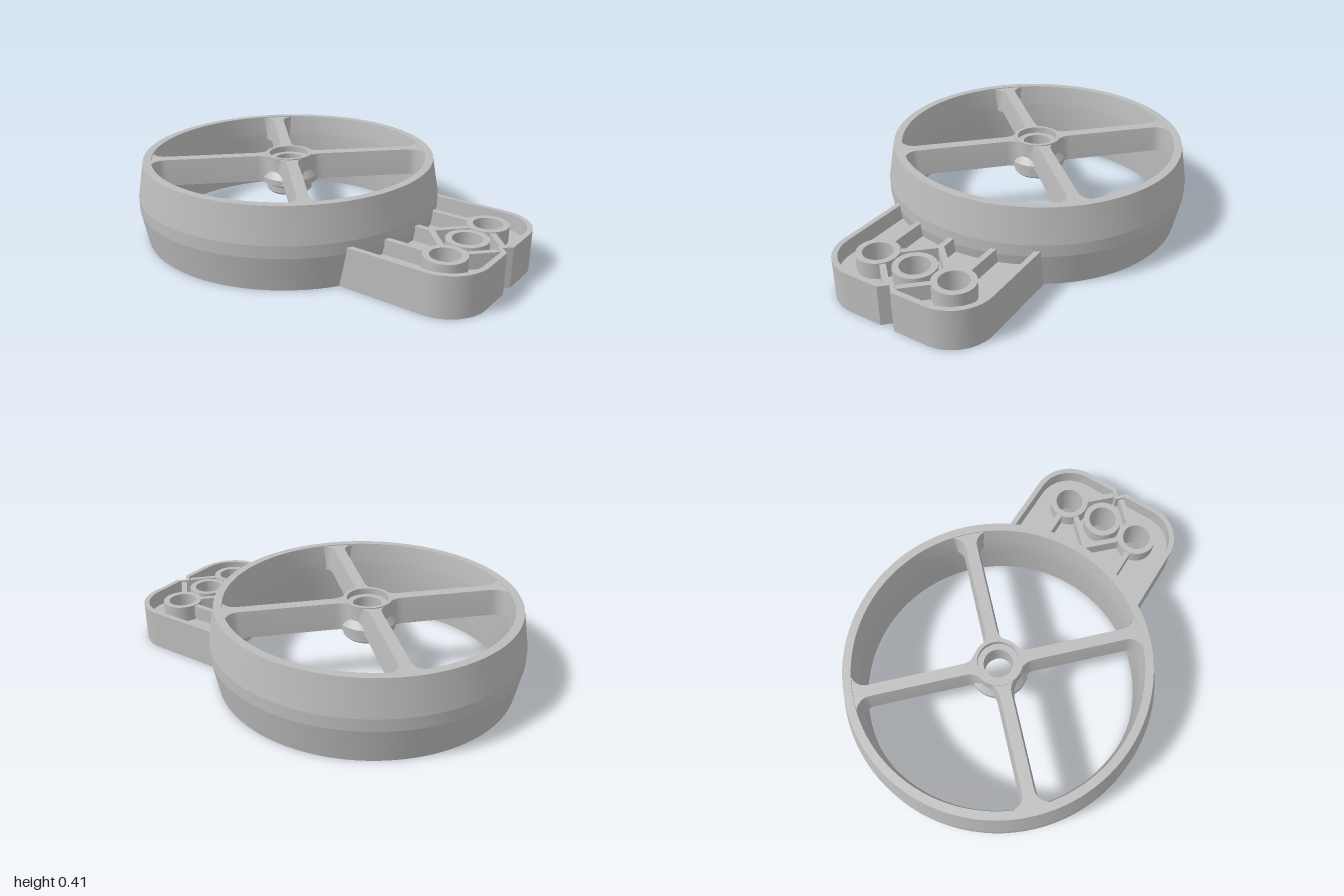
import * as THREE from 'three';
import { toCreasedNormals } from 'three/addons/utils/BufferGeometryUtils.js';

const HUB_X = -0.235; // wheel axis
const HOLES = [-0.207, 0, 0.207]; // z of the tab holes
const HOLE_X = 0.795;

// Closed turned part from [radius, y] points, listed up the outside and down the inside
function turned(points, segments) {
  const profile = [...points, points[0]].map(([r, y]) => new THREE.Vector2(r, y));
  return toCreasedNormals(new THREE.LatheGeometry(profile, segments), 0.15);
}

// Plan shape (x, z) raised from y0 to y1
function raised(shape, y0, y1) {
  const geo = new THREE.ExtrudeGeometry(shape, { depth: y1 - y0, bevelEnabled: false, curveSegments: 24 });
  geo.rotateX(-Math.PI / 2).translate(0, y0, 0);
  return toCreasedNormals(geo, 0.4);
}

// Tab outline: rounded outer corners, V notch, and an arc that ends inside the wheel rim
function tabOutline(target, inset, arcRadius) {
  const h = 0.405 - inset, right = 1 - inset, r = 0.2 - inset;
  const a = Math.asin(h / arcRadius);
  target.moveTo(HUB_X + arcRadius * Math.cos(a), -h);
  target.lineTo(right - r, -h);
  target.absarc(right - r, -h + r, r, -Math.PI / 2, 0, false);
  target.lineTo(right, -0.037);
  target.lineTo(right - 0.037, 0);
  target.lineTo(right, 0.037);
  target.absarc(right - r, h - r, r, 0, Math.PI / 2, false);
  target.lineTo(HUB_X + arcRadius * Math.cos(a), h);
  target.absarc(HUB_X, 0, arcRadius, a, -a, true);
  return target;
}

// Spoke along +x with flared ends and sides leaning in towards the top
function spokeGeometry() {
  const w = 0.042, s = new THREE.Shape();
  s.moveTo(0.1, -w - 0.03);
  s.quadraticCurveTo(0.125, -w, 0.17, -w);
  s.lineTo(0.62, -w);
  s.quadraticCurveTo(0.672, -w, 0.692, -w - 0.06);
  s.lineTo(0.7, 0);
  s.lineTo(0.692, w + 0.06);
  s.quadraticCurveTo(0.672, w, 0.62, w);
  s.lineTo(0.17, w);
  s.quadraticCurveTo(0.125, w, 0.1, w + 0.03);
  s.closePath();
  const geo = new THREE.ExtrudeGeometry(s, { depth: 0.13, steps: 2, bevelEnabled: false, curveSegments: 8 });
  geo.rotateX(-Math.PI / 2).translate(0, 0.27, 0);
  const p = geo.attributes.position;
  for (let i = 0; i < p.count; i++) {
    const t = Math.max(0, (p.getY(i) - 0.3) / 0.1);
    const z = p.getZ(i);
    p.setZ(i, z - Math.sign(z) * Math.min(Math.abs(z), 0.014 * t));
  }
  return toCreasedNormals(geo, 0.4);
}

export function createModel() {
  const model = new THREE.Group();
  model.name = 'wheelWithTab';
  const grey = new THREE.MeshStandardMaterial({ color: 0xbcbcbc });
  grey.name = 'grey';
  const add = (name, geometry, parent) => {
    const mesh = new THREE.Mesh(geometry, grey);
    mesh.name = name;
    parent.add(mesh);
    return mesh;
  };

  // Wheel: rim, hub and four diagonal spokes
  const wheel = new THREE.Group();
  wheel.name = 'wheel';
  wheel.position.x = HUB_X;
  model.add(wheel);
  add('rim', turned([
    [0.735, 0], [0.767, 0.17], [0.767, 0.23], [0.735, 0.405],
    [0.695, 0.405], [0.68, 0.3], [0.68, 0.17], [0.69, 0],
  ], 96), wheel);
  add('hub', turned([
    [0.105, 0.21], [0.115, 0.22], [0.115, 0.25], [0.142, 0.265], [0.142, 0.295], [0.118, 0.33],
    [0.118, 0.405], [0.1, 0.405], [0.1, 0.375], [0.07, 0.375], [0.07, 0.24], [0.09, 0.24], [0.09, 0.21],
  ], 48), wheel);
  const spoke = spokeGeometry();
  for (let i = 0; i < 4; i++) {
    add('spoke', spoke, wheel).rotation.y = Math.PI / 4 + i * Math.PI / 2;
  }

  // Tab: outer wall and a thin web at mid height
  const tab = new THREE.Group();
  tab.name = 'tab';
  model.add(tab);
  const wall = tabOutline(new THREE.Shape(), 0, 0.71);
  wall.holes.push(tabOutline(new THREE.Path(), 0.026, 0.72));
  add('tabWall', raised(wall, 0, 0.2), tab);
  const web = tabOutline(new THREE.Shape(), 0.012, 0.712);
  for (const z of HOLES) {
    const hole = new THREE.Path();
    hole.absarc(HOLE_X, z, 0.085, 0, Math.PI * 2, true);
    web.holes.push(hole);
  }
  add('tabWeb', raised(web, 0.09, 0.12), tab);

  // Three open bosses
  const boss = turned([[0.1, 0], [0.1, 0.2], [0.07, 0.2], [0.07, 0]], 40);
  for (const z of HOLES) add('boss', boss, tab).position.set(HOLE_X, 0, z);

  // Ribs between two plan points
  const rib = (x0, z0, x1, z1) => {
    const dx = x1 - x0, dz = z1 - z0;
    const mesh = add('rib', new THREE.BoxGeometry(Math.hypot(dx, dz), 0.19, 0.028), tab);
    mesh.position.set((x0 + x1) / 2, 0.1, (z0 + z1) / 2);
    mesh.rotation.y = -Math.atan2(dz, dx);
  };
  rib(0.49, 0, 0.62, 0);
  for (const s of [-1, 1]) {
    rib(0.45, s * 0.21, 0.71, s * 0.21);
    rib(0.61, 0, 0.735, s * 0.13);
    rib(0.955, s * 0.025, 0.855, s * 0.13);
  }
  return model;
}
